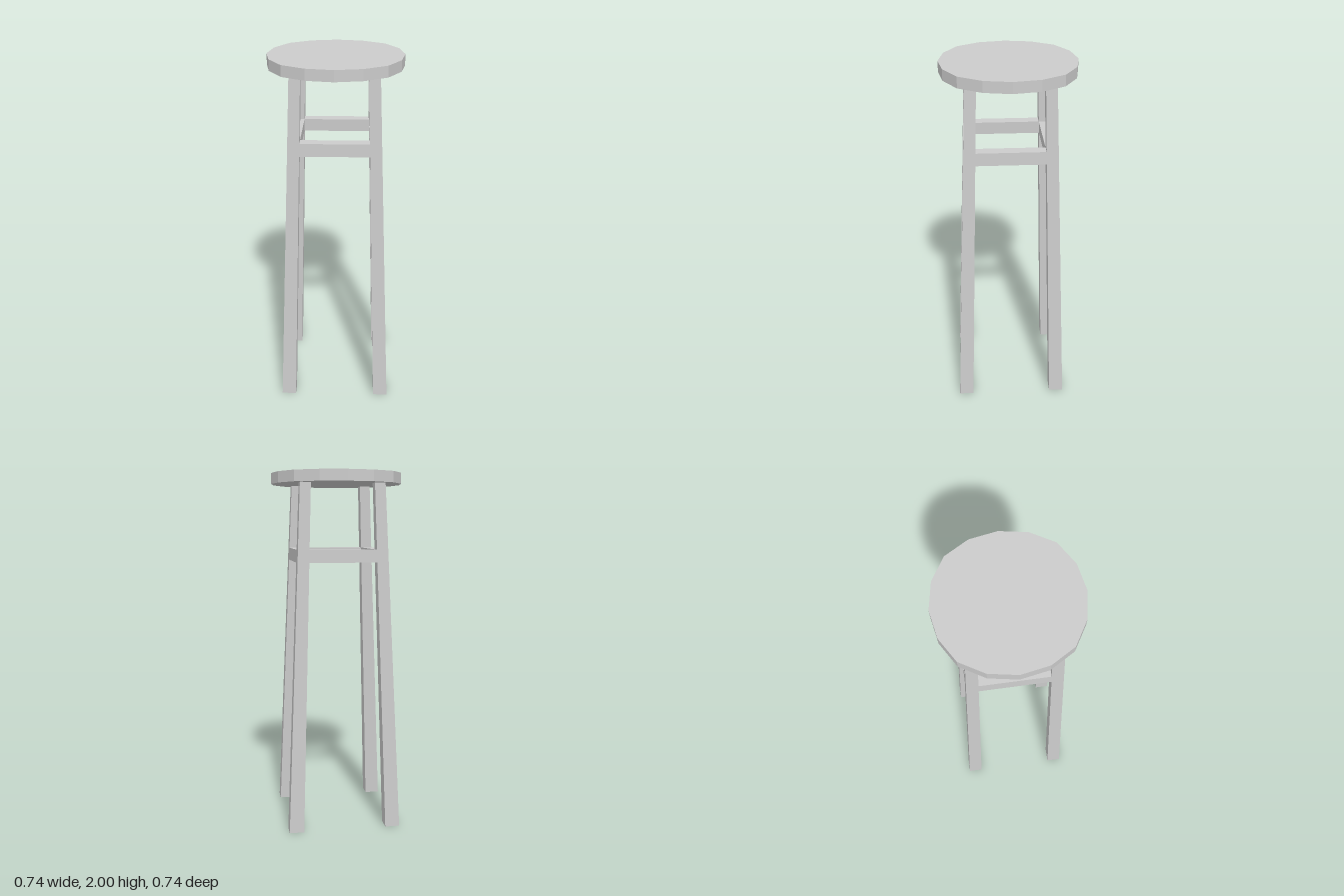
import * as THREE from 'three';

const SEAT_BOTTOM = 1.94;
const material = new THREE.MeshStandardMaterial({ color: 0xcccccc, flatShading: true });

// Distance of the legs' outer and inner faces from the centre, at height y
const outer = (y) => THREE.MathUtils.lerp(0.317, 0.234, y / SEAT_BOTTOM);
const inner = (y) => THREE.MathUtils.lerp(0.235, 0.175, y / SEAT_BOTTOM);

// Box whose x and z extents follow the taper between heights y0 and y1
function taperedBar(name, y0, y1, xMin, xMax) {
  const geometry = new THREE.BoxGeometry(1, 1, 1);
  const p = geometry.attributes.position;
  for (let i = 0; i < p.count; i++) {
    const y = p.getY(i) > 0 ? y1 : y0;
    p.setXYZ(i, p.getX(i) > 0 ? xMax(y) : xMin(y), y, p.getZ(i) > 0 ? outer(y) : inner(y));
  }
  geometry.computeVertexNormals();
  const mesh = new THREE.Mesh(geometry, material);
  mesh.name = name;
  return mesh;
}

export function createModel() {
  const stool = new THREE.Group();
  stool.name = 'stool';

  // Round seat with sixteen sides
  const quarter = [[0.369, 0], [0.343, 0.145], [0.269, 0.269], [0.145, 0.343]];
  const outline = [];
  for (let k = 0; k < 4; k++) {
    for (const [x, y] of quarter) {
      outline.push(new THREE.Vector2(x, y).rotateAround(new THREE.Vector2(), (k * Math.PI) / 2));
    }
  }
  const seatGeometry = new THREE.ExtrudeGeometry(new THREE.Shape(outline), {
    depth: 2 - SEAT_BOTTOM, bevelEnabled: false,
  });
  seatGeometry.rotateX(-Math.PI / 2).translate(0, SEAT_BOTTOM, 0);
  const seat = new THREE.Mesh(seatGeometry, material);
  seat.name = 'seat';
  stool.add(seat);

  // One splayed leg and one rail per quarter turn
  for (let k = 0; k < 4; k++) {
    const leg = taperedBar('leg', 0, SEAT_BOTTOM, inner, outer);
    const rail = taperedBar('rail', 1.51, 1.58, (y) => -inner(y), inner);
    for (const part of [leg, rail]) {
      part.rotation.y = (k * Math.PI) / 2;
      stool.add(part);
    }
  }
  return stool;
}
